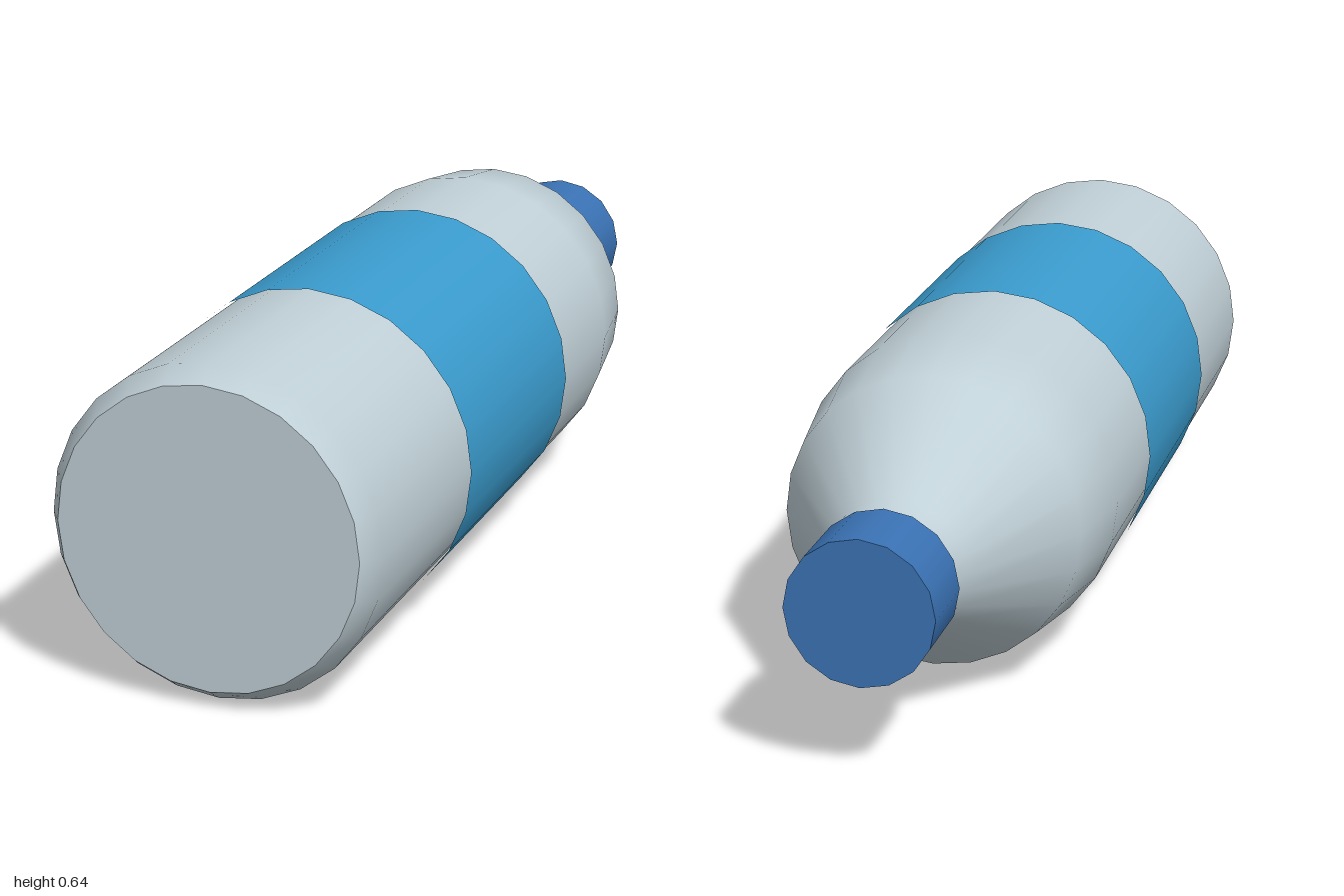
import * as THREE from 'three';

const AXIS_Y = 0.318; // height of the bottle's axis while lying down

export function createModel() {
  const plastic = new THREE.MeshStandardMaterial({ color: 0xc0d0d7 });
  plastic.name = 'clear grey plastic';
  const labelBlue = new THREE.MeshStandardMaterial({ color: 0x3a9bcd, side: THREE.FrontSide });
  labelBlue.name = 'label blue';
  const capBlue = new THREE.MeshStandardMaterial({ color: 0x3a72b4 });
  capBlue.name = 'cap blue';

  const bottle = new THREE.Group();
  bottle.name = 'bottle';

  // Parts are made upright, then laid down with the neck towards -z
  const add = (name, geometry, material) => {
    geometry.rotateX(-Math.PI / 2);
    const mesh = new THREE.Mesh(geometry, material);
    mesh.name = name;
    mesh.position.y = AXIS_Y;
    bottle.add(mesh);
  };

  // Body: chamfered foot, straight wall, shoulder and neck (radius, height)
  const profile = [
    [0.285, -1], [0.313, -0.96], [0.313, 0.33],
    [0.284, 0.52], [0.131, 0.765], [0.122, 0.86],
  ].map(([r, h]) => new THREE.Vector2(r, h));
  add('body', new THREE.LatheGeometry(profile, 24), plastic);

  // Flat base closing the foot
  const base = new THREE.CircleGeometry(0.285, 24, Math.PI / 2);
  base.rotateX(Math.PI / 2).translate(0, -1, 0);
  add('base', base, plastic);

  // Label sleeve, open at both ends
  const label = new THREE.CylinderGeometry(0.318, 0.318, 0.57, 24, 1, true);
  label.translate(0, -0.24, 0);
  add('label', label, labelBlue);

  // Screw cap
  const cap = new THREE.CylinderGeometry(0.137, 0.137, 0.16, 16);
  cap.translate(0, 0.92, 0);
  add('cap', cap, capBlue);

  return bottle;
}
